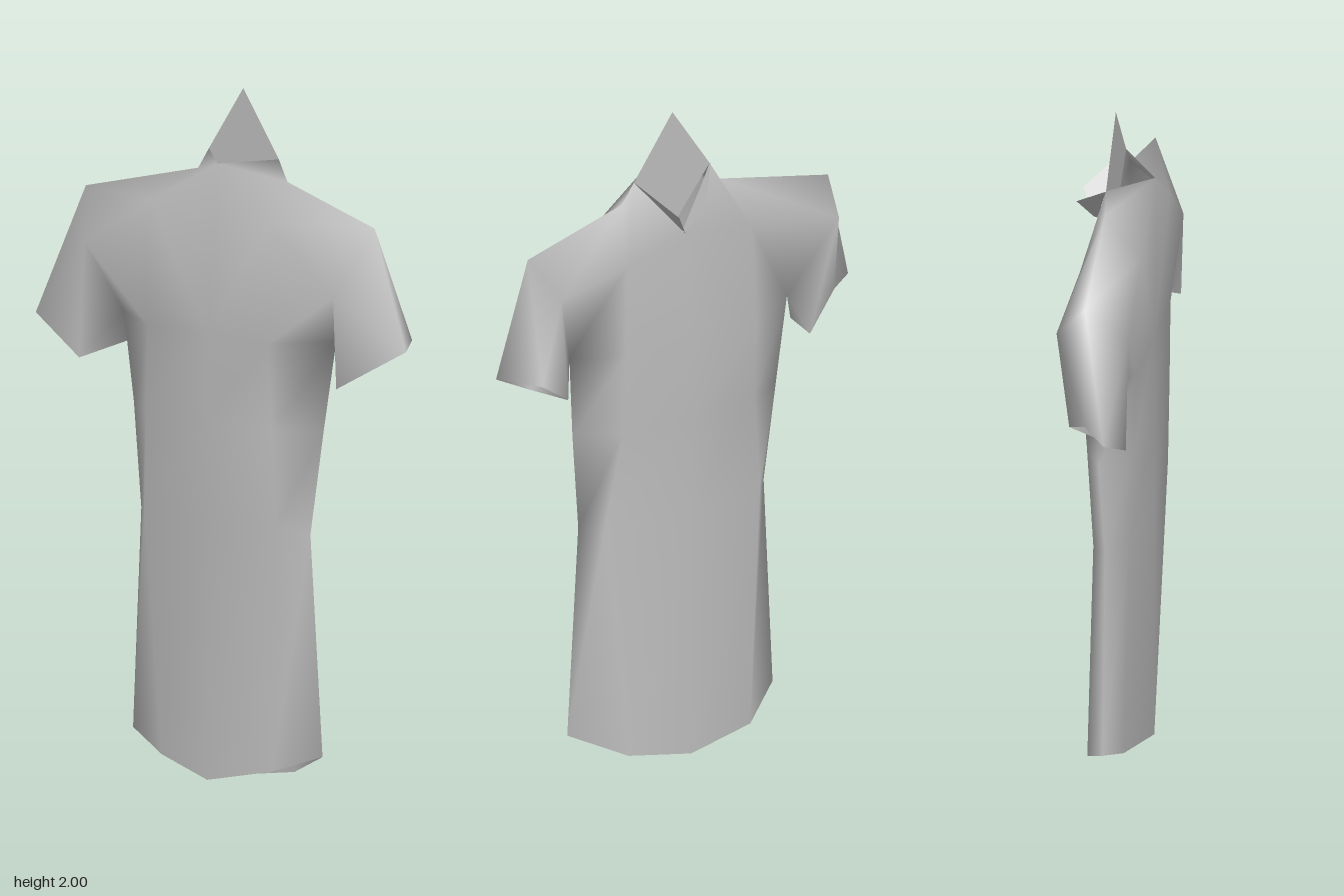
import * as THREE from 'three';
import { mergeGeometries, mergeVertices } from 'three/addons/utils/BufferGeometryUtils.js';

const cloth = new THREE.MeshStandardMaterial({ color: 0xc0c0c0, side: THREE.DoubleSide });
cloth.name = 'grey cloth';

function geometry(points, index) {
  const geo = new THREE.BufferGeometry();
  geo.setAttribute('position', new THREE.Float32BufferAttribute(points.flat(), 3));
  geo.setIndex(index);
  return geo;
}

function part(name, geo) {
  geo.computeVertexNormals();
  const mesh = new THREE.Mesh(geo, cloth);
  mesh.name = name;
  return mesh;
}

// Skin a list of rings of [x, y, z] points; open rings leave out the last side,
// flip turns the diagonal of each quad
function loft(rings, closed, flip) {
  const n = rings[0].length, index = [];
  for (let r = 0; r < rings.length - 1; r++) {
    for (let i = 0; i < (closed ? n : n - 1); i++) {
      const j = (i + 1) % n, a = r * n + i, b = r * n + j;
      if (flip) index.push(a, b, a + n, b, b + n, a + n);
      else index.push(a, b, b + n, a, b + n, a + n);
    }
  }
  return geometry(rings.flat(), index);
}

export function createModel() {
  const shirt = new THREE.Group();
  shirt.name = 'shirt';

  // Torso from the curved hem up to the armpits:
  // back centre, back, left side, front, front centre, front, right side, back
  const torso = loft([
    [[-0.115, 0.01, 0], [-0.072, 0.052, 0.2], [-0.04, 0.11, 0.36], [0.032, 0.035, 0.2],
      [0.05, 0, 0], [0.032, 0.035, -0.21], [-0.04, 0.11, -0.33], [-0.072, 0.052, -0.2]],
    [[-0.115, 0.75, 0], [-0.1, 0.77, 0.24], [-0.045, 0.75, 0.32], [0.008, 0.75, 0.265],
      [0.05, 0.75, 0], [0.003, 0.75, -0.26], [-0.04, 0.75, -0.3], [-0.1, 0.77, -0.24]],
    [[-0.115, 1.05, 0], [-0.107, 1.05, 0.23], [-0.025, 1.05, 0.352], [0.042, 1.05, 0.225],
      [0.055, 1.05, 0], [0.03, 1.05, -0.225], [-0.03, 1.05, -0.335], [-0.107, 1.05, -0.23]],
    [[-0.115, 1.3, 0], [-0.112, 1.3, 0.22], [0, 1.31, 0.378], [0.05, 1.3, 0.22],
      [0.055, 1.3, 0], [0.05, 1.3, -0.22], [-0.03, 1.31, -0.372], [-0.112, 1.3, -0.22]],
  ], true, false);

  // Neck to cuff: low front, front, top, back, low back (the low points meet at the armpit)
  const left = loft([
    [[0.055, 1.3, 0], [0.052, 1.64, 0.025], [0.005, 1.81, 0.165], [-0.11, 1.8, 0.035], [-0.115, 1.3, 0]],
    [[0.05, 1.3, 0.22], [0.056, 1.58, 0.22], [0, 1.75, 0.2], [-0.11, 1.65, 0.22], [-0.112, 1.3, 0.22]],
    [[0, 1.31, 0.378], [0.057, 1.53, 0.44], [0, 1.655, 0.518], [-0.098, 1.46, 0.445], [0, 1.31, 0.378]],
    [[0.06, 1.215, 0.42], [0.13, 1.315, 0.55], [0.005, 1.31, 0.628], [-0.09, 1.195, 0.45], [0.06, 1.215, 0.42]],
  ], false, true);
  const right = loft([
    [[-0.115, 1.3, 0], [-0.11, 1.8, 0.035], [0.005, 1.81, -0.09], [0.052, 1.64, 0.025], [0.055, 1.3, 0]],
    [[-0.112, 1.3, -0.22], [-0.125, 1.67, -0.2], [0, 1.75, -0.125], [0.056, 1.6, -0.2], [0.05, 1.3, -0.22]],
    [[-0.03, 1.31, -0.372], [-0.138, 1.52, -0.43], [-0.03, 1.655, -0.51], [0.057, 1.56, -0.492], [-0.03, 1.31, -0.372]],
    [[0.04, 1.21, -0.405], [-0.135, 1.18, -0.45], [-0.11, 1.285, -0.628], [-0.035, 1.29, -0.535], [0.04, 1.21, -0.405]],
  ], false, false);
  shirt.add(part('torsoAndSleeves', mergeVertices(mergeGeometries([torso, left, right]))));

  // Upright pointed panel inside the neck
  shirt.add(part('neckPanel', geometry(
    [[0.005, 2, 0.035], [0.005, 1.81, 0.165], [0.005, 1.65, 0.03], [0.005, 1.81, -0.09]],
    [0, 1, 2, 0, 2, 3])));

  // Folded collar points either side of the neck opening
  for (const s of [1, -1]) {
    const z = d => 0.035 + s * d;
    const index = s > 0 ? [0, 1, 2] : [0, 2, 1];
    shirt.add(part(s > 0 ? 'leftCollar' : 'rightCollar', geometry(
      [[0.005, 1.81, z(0.128)], [0.11, 1.72, z(0.043)], [0.062, 1.64, z(-0.008)]], index)));
  }
  return shirt;
}
